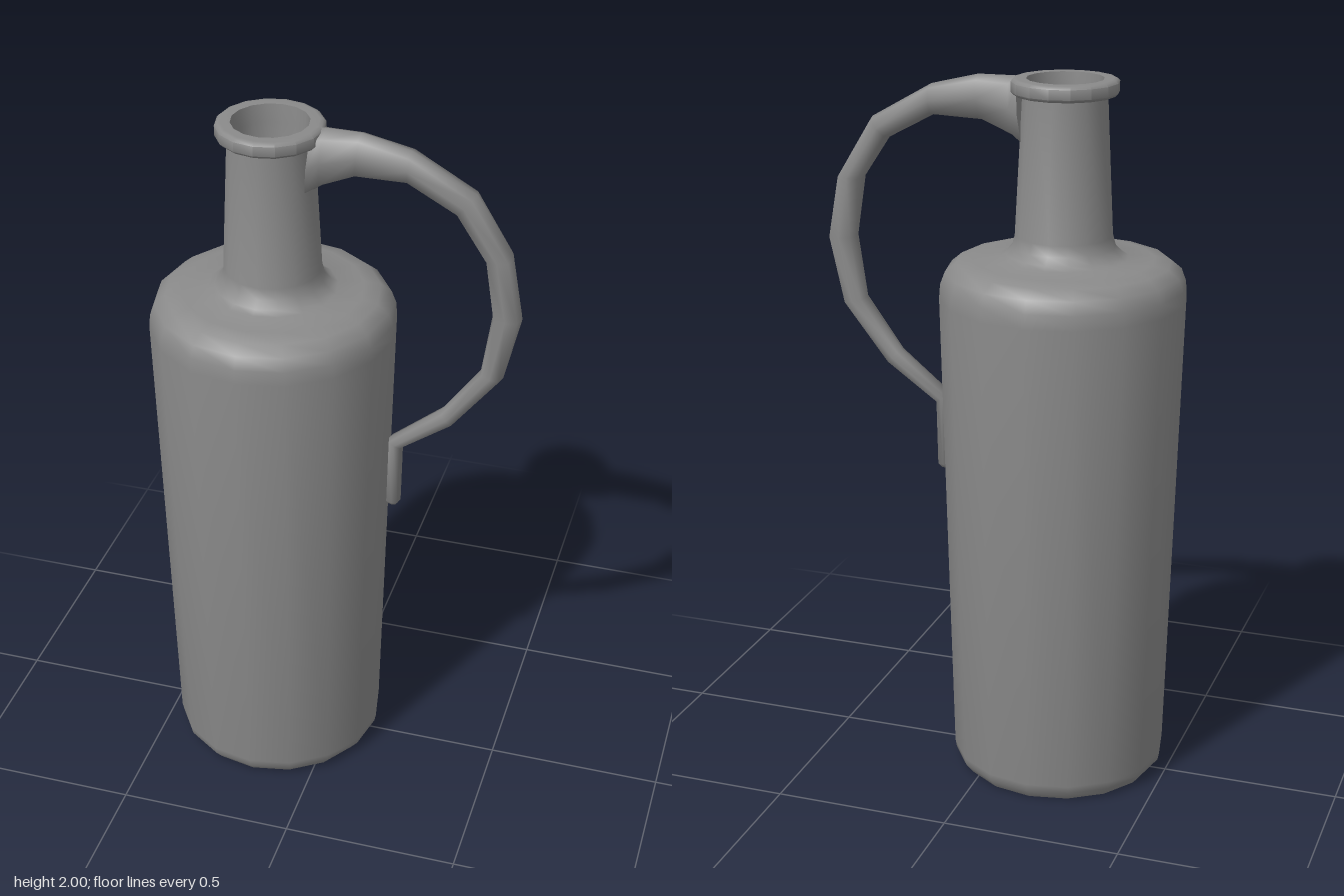
import * as THREE from 'three';
import { toCreasedNormals } from 'three/addons/utils/BufferGeometryUtils.js';

const AXIS_X = -0.175;
const SIDES = 16;

// Skin rings lying between an outer and an inner point, with a half width in z
function handleGeometry(sections) {
  const n = 8;
  const positions = [];
  const index = [];
  for (const [ox, oy, ix, iy, w] of sections) {
    for (let j = 0; j < n; j++) {
      const a = (j / n) * Math.PI * 2;
      const bulge = j % 2 ? 1.12 : 1;
      const t = 0.5 + 0.5 * Math.cos(a) * bulge;
      positions.push(ix + (ox - ix) * t, iy + (oy - iy) * t, Math.sin(a) * w * bulge);
    }
  }
  for (let i = 0; i < sections.length - 1; i++) {
    for (let j = 0; j < n; j++) {
      const a = i * n + j;
      const b = i * n + ((j + 1) % n);
      index.push(a, b, a + n, b, b + n, a + n);
    }
  }
  // End caps
  const last = (sections.length - 1) * n;
  for (let j = 1; j < n - 1; j++) {
    index.push(0, j + 1, j);
    index.push(last, last + j, last + j + 1);
  }
  const geometry = new THREE.BufferGeometry();
  geometry.setAttribute('position', new THREE.Float32BufferAttribute(positions, 3));
  geometry.setIndex(index);
  return toCreasedNormals(geometry, 1.2);
}

export function createModel() {
  const group = new THREE.Group();
  group.name = 'jug';
  const material = new THREE.MeshStandardMaterial({ color: 0x8a8a8a });

  // Tapered body, rounded shoulder, flared neck, lip and hollow mouth
  const profile = [
    [0, 0], [0.28, 0], [0.302, 0.028], [0.306, 0.05],
    [0.341, 1.4], [0.338, 1.44], [0.325, 1.475], [0.295, 1.5], [0.25, 1.51],
    [0.178, 1.515], [0.16, 1.525], [0.142, 1.545], [0.134, 1.575],
    [0.115, 1.955], [0.138, 1.957], [0.146, 1.965], [0.146, 1.992], [0.139, 1.999], [0.13, 2],
    [0.105, 2], [0.102, 1.95], [0.095, 1.7], [0.075, 1.64], [0.04, 1.61], [0, 1.6],
  ].map(([r, y]) => new THREE.Vector2(r, y));
  const bottle = new THREE.Mesh(toCreasedNormals(new THREE.LatheGeometry(profile, SIDES), 0.84), material);
  bottle.name = 'bottle';
  bottle.position.x = AXIS_X;
  group.add(bottle);

  // Handle: outer x, outer y, inner x, inner y, half width
  const handle = new THREE.Mesh(handleGeometry([
    [-0.052, 1.999, -0.07, 1.81, 0.066],
    [-0.025, 1.999, -0.035, 1.835, 0.05],
    [0.07, 1.998, 0.06, 1.875, 0.039],
    [0.205, 1.965, 0.2, 1.88, 0.04],
    [0.38, 1.865, 0.33, 1.81, 0.04],
    [0.483, 1.695, 0.41, 1.69, 0.04],
    [0.515, 1.52, 0.435, 1.52, 0.038],
    [0.472, 1.33, 0.41, 1.345, 0.035],
    [0.342, 1.163, 0.305, 1.2, 0.031],
    [0.197, 1.06, 0.158, 1.08, 0.027],
    [0.194, 0.875, 0.153, 0.875, 0.025],
    [0.184, 0.862, 0.16, 0.862, 0.014],
  ]), material);
  handle.name = 'handle';
  group.add(handle);

  return group;
}
